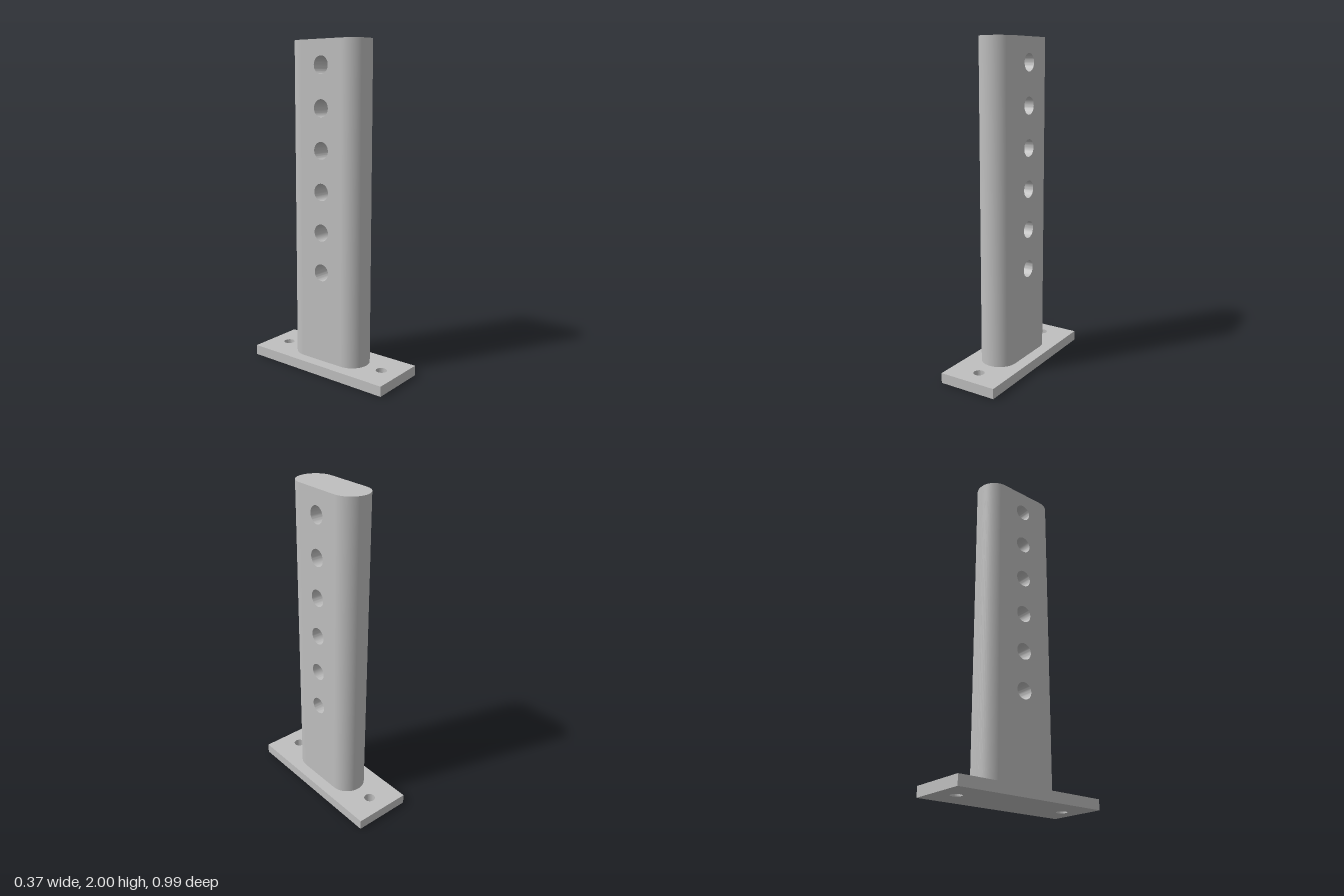
import * as THREE from 'three';
import { toCreasedNormals } from 'three/addons/utils/BufferGeometryUtils.js';

const PLATE = { halfX: 0.184, halfZ: 0.493, height: 0.062, holeZ: 0.371, holeR: 0.034 };
const POST = { radius: 0.112, halfZ: 0.26, top: 2, holeR: 0.052, firstHole: 0.625, pitch: 0.246, holes: 6 };

// Rectangle with round through-holes, extruded along +z
function drilledSlab(x0, x1, y0, y1, depth, centres, radius) {
  const shape = new THREE.Shape([[x0, y0], [x1, y0], [x1, y1], [x0, y1]].map(([x, y]) => new THREE.Vector2(x, y)));
  for (const [x, y] of centres) {
    shape.holes.push(new THREE.Path().absarc(x, y, radius, 0, Math.PI * 2, true));
  }
  const geometry = new THREE.ExtrudeGeometry(shape, { depth, bevelEnabled: false, curveSegments: 24 });
  return toCreasedNormals(geometry, 0.6);
}

export function createModel() {
  const model = new THREE.Group();
  model.name = 'drilledPostOnBase';
  const steel = new THREE.MeshStandardMaterial({ color: 0xbfbfbf });
  steel.name = 'grey steel';

  const add = (parent, name, geometry) => {
    const mesh = new THREE.Mesh(geometry, steel);
    mesh.name = name;
    parent.add(mesh);
    return mesh;
  };

  // Base plate with two bolt holes
  const { halfX, halfZ, height, holeZ, holeR } = PLATE;
  const plate = drilledSlab(-halfX, halfX, -halfZ, halfZ, height, [[0, holeZ], [0, -holeZ]], holeR);
  add(model, 'basePlate', plate.rotateX(-Math.PI / 2));

  // Post: a flat-sided core drilled crosswise, closed by two half-round edges
  const post = new THREE.Group();
  post.name = 'post';
  model.add(post);
  const flat = POST.halfZ - POST.radius;
  const centres = Array.from({ length: POST.holes }, (_, i) => [0, POST.firstHole + i * POST.pitch]);
  const core = drilledSlab(-flat, flat, height, POST.top, POST.radius * 2, centres, POST.holeR);
  add(post, 'postCore', core.translate(0, 0, -POST.radius).rotateY(Math.PI / 2));

  for (const side of [1, -1]) {
    const length = POST.top - height;
    const edge = new THREE.CylinderGeometry(POST.radius, POST.radius, length, 32, 1, false, -side * Math.PI / 2, Math.PI);
    add(post, side > 0 ? 'frontRoundEdge' : 'backRoundEdge', edge)
      .position.set(0, height + length / 2, side * flat);
  }
  return model;
}
